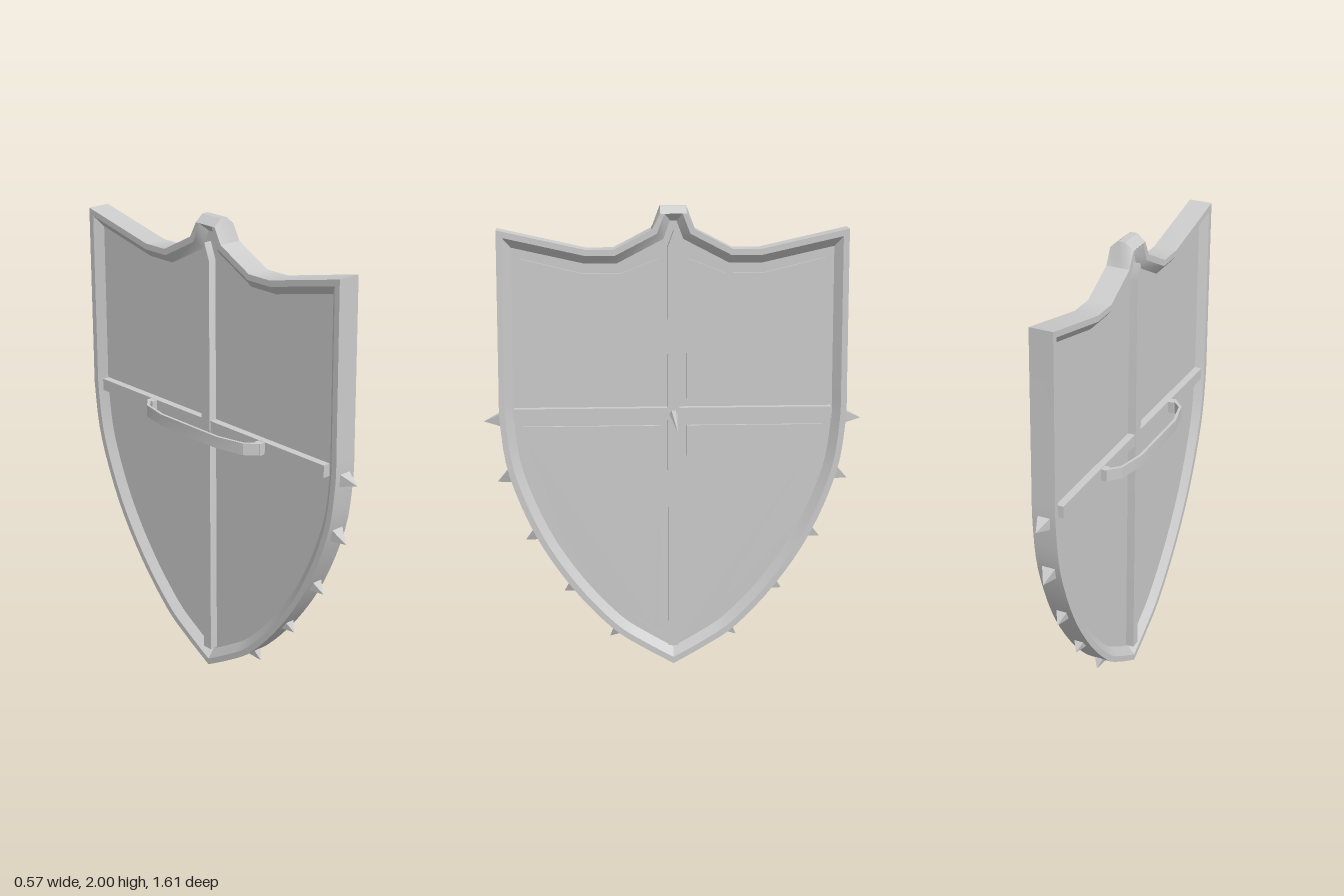
import * as THREE from 'three';
import { toCreasedNormals } from 'three/addons/utils/BufferGeometryUtils.js';

const material = new THREE.MeshStandardMaterial({ color: 0xcccccc, side: THREE.DoubleSide });
const V2 = (p) => new THREE.Vector2(p[0], p[1]);
const smoothCurve = (pts, n) => new THREE.SplineCurve(pts.map(V2)).getPoints(n);

function addMesh(parent, geometry, name) {
  const mesh = new THREE.Mesh(geometry, material);
  mesh.name = name;
  parent.add(mesh);
  return mesh;
}

// Extrudes a flat outline between two depths
function slab(points, z0, z1) {
  const geo = new THREE.ExtrudeGeometry(new THREE.Shape(points), { depth: z1 - z0, bevelEnabled: false });
  return toCreasedNormals(geo.translate(0, 0, z0), 0.5);
}

// Shield outline, clockwise from the crest
function shieldOutline() {
  const top = [[0.055, 2], [0.09, 1.905], [0.25, 1.822], [0.365, 1.822], [0.735, 1.905]].map(V2);
  const side = smoothCurve([[0.738, 1.22], [0.735, 1.08], [0.7, 0.86], [0.59, 0.59], [0.44, 0.36],
    [0.27, 0.175], [0.14, 0.085], [0, 0.005]], 28);
  const right = [...top, ...side];
  const left = right.slice(0, -1).reverse().map((p) => new THREE.Vector2(-p.x, p.y));
  return [...right, ...left];
}

// Moves every corner of a clockwise loop inward by d, with mitred corners
function inset(loop, d) {
  const n = loop.length;
  const normal = (a, b) => {
    const t = b.clone().sub(a).normalize();
    return new THREE.Vector2(t.y, -t.x);
  };
  return loop.map((p, i) => {
    const n1 = normal(loop[(i + n - 1) % n], p);
    const n2 = normal(p, loop[(i + 1) % n]);
    const m = n1.clone().add(n2);
    return p.clone().addScaledVector(m, (2 * d) / m.lengthSq());
  });
}

// Rim lofted round the outline: sloped inner edge, flat face, ridged crest top
function rimGeometry(outline) {
  const section = [[0.062, 0.018], [0.025, 0.05], [0, 0.05], [0, 0.015], [0, -0.015], [0, -0.05], [0.025, -0.05], [0.062, -0.018]];
  const n = outline.length, m = section.length;
  const positions = [], index = [];
  section.forEach(([d, z]) => {
    inset(outline, d).forEach((p) => {
      positions.push(p.x, Math.abs(z) > 0.03 ? Math.min(p.y, 1.97) : p.y, z);
    });
  });
  for (let j = 0; j < m - 1; j++) {
    for (let i = 0; i < n; i++) {
      const k = (i + 1) % n;
      const a = j * n + i, b = j * n + k, c = b + n, d = a + n;
      index.push(a, b, c, a, c, d);
    }
  }
  const geo = new THREE.BufferGeometry();
  geo.setAttribute('position', new THREE.Float32BufferAttribute(positions, 3));
  geo.setIndex(index);
  return toCreasedNormals(geo, 0.5);
}

// Cone with its base at one point and its tip at another
function spike(parent, base, tip, radius, sides, name) {
  const dir = tip.clone().sub(base);
  const geo = new THREE.ConeGeometry(radius, dir.length(), sides).toNonIndexed();
  geo.rotateY(Math.PI / sides);
  geo.computeVertexNormals();
  const mesh = addMesh(parent, geo, name);
  mesh.position.copy(base).add(tip).multiplyScalar(0.5);
  mesh.quaternion.setFromUnitVectors(new THREE.Vector3(0, 1, 0), dir.normalize());
}

export function createModel() {
  const model = new THREE.Group();
  model.name = 'shield';
  // Built facing +z, then turned so its face points to +x
  const body = new THREE.Group();
  body.name = 'shieldBody';
  body.rotation.y = Math.PI / 2;
  body.position.x = -0.15;
  model.add(body);

  const outline = shieldOutline();
  addMesh(body, rimGeometry(outline), 'rim');
  addMesh(body, slab(inset(outline, 0.055), -0.02, 0.02), 'backPlate');

  // Raised panels in the four quarters of the face
  const upper = [[0.055, 1.185], [0.64, 1.185], [0.64, 1.785], [0.375, 1.72], [0.22, 1.72], [0.055, 1.785]].map(V2);
  const lower = [V2([0.055, 1.07]), ...smoothCurve([[0.64, 1.07], [0.605, 0.87], [0.505, 0.63], [0.37, 0.42],
    [0.22, 0.265], [0.055, 0.155]], 20)];
  for (const s of [-1, 1]) {
    const mirror = (pts) => pts.map((p) => new THREE.Vector2(s * p.x, p.y));
    addMesh(body, slab(mirror(upper), 0.015, 0.032), 'upperPanel');
    addMesh(body, slab(mirror(lower), 0.015, 0.032), 'lowerPanel');
  }

  // Cross bars standing out on both faces
  const upright = [[-0.022, 0.09], [0.022, 0.09], [0.026, 1.83], [0, 1.9], [-0.026, 1.83]].map(V2);
  addMesh(body, slab(upright, -0.055, 0.055), 'uprightBar');
  const cross = addMesh(body, new THREE.BoxGeometry(1.35, 0.052, 0.104), 'crossBar');
  cross.position.y = 1.125;

  // Long spike in the middle of the face
  spike(body, new THREE.Vector3(0, 1.125, 0.05), new THREE.Vector3(0, 1.122, 0.42), 0.018, 6, 'centreSpike');

  // Small pyramids along the lower edges: base x, y then tip x, y
  const studs = [[0.725, 1.1, 0.806, 1.09], [0.69, 0.855, 0.753, 0.825], [0.575, 0.6, 0.637, 0.565],
    [0.42, 0.365, 0.474, 0.33], [0.225, 0.17, 0.276, 0.12]];
  for (const [bx, by, tx, ty] of studs) {
    for (const s of [-1, 1]) {
      spike(body, new THREE.Vector3(s * bx, by, 0), new THREE.Vector3(s * tx, ty, 0), 0.042, 4, 'edgeSpike');
    }
  }

  // Strap handle on the back with two feet
  const outer = [[0.345, -0.075], [0.295, -0.122], [0.17, -0.15]];
  const inner = [[0.17, -0.138], [0.287, -0.112], [0.33, -0.07]];
  const flip = (pts) => pts.map(([x, z]) => [-x, z]).reverse();
  const strap = [...outer, ...flip(outer), ...flip(inner), ...inner].map(([x, z]) => V2([x, -z]));
  const handle = addMesh(body, slab(strap, -0.025, 0.025), 'handle');
  handle.rotation.x = -Math.PI / 2;
  handle.position.y = 1.125;
  handle.geometry.scale(1, -1, 1).rotateX(Math.PI);
  for (const s of [-1, 1]) {
    const foot = addMesh(body, new THREE.BoxGeometry(0.035, 0.05, 0.03), 'handleFoot');
    foot.position.set(s * 0.33, 1.125, -0.062);
  }
  return model;
}
